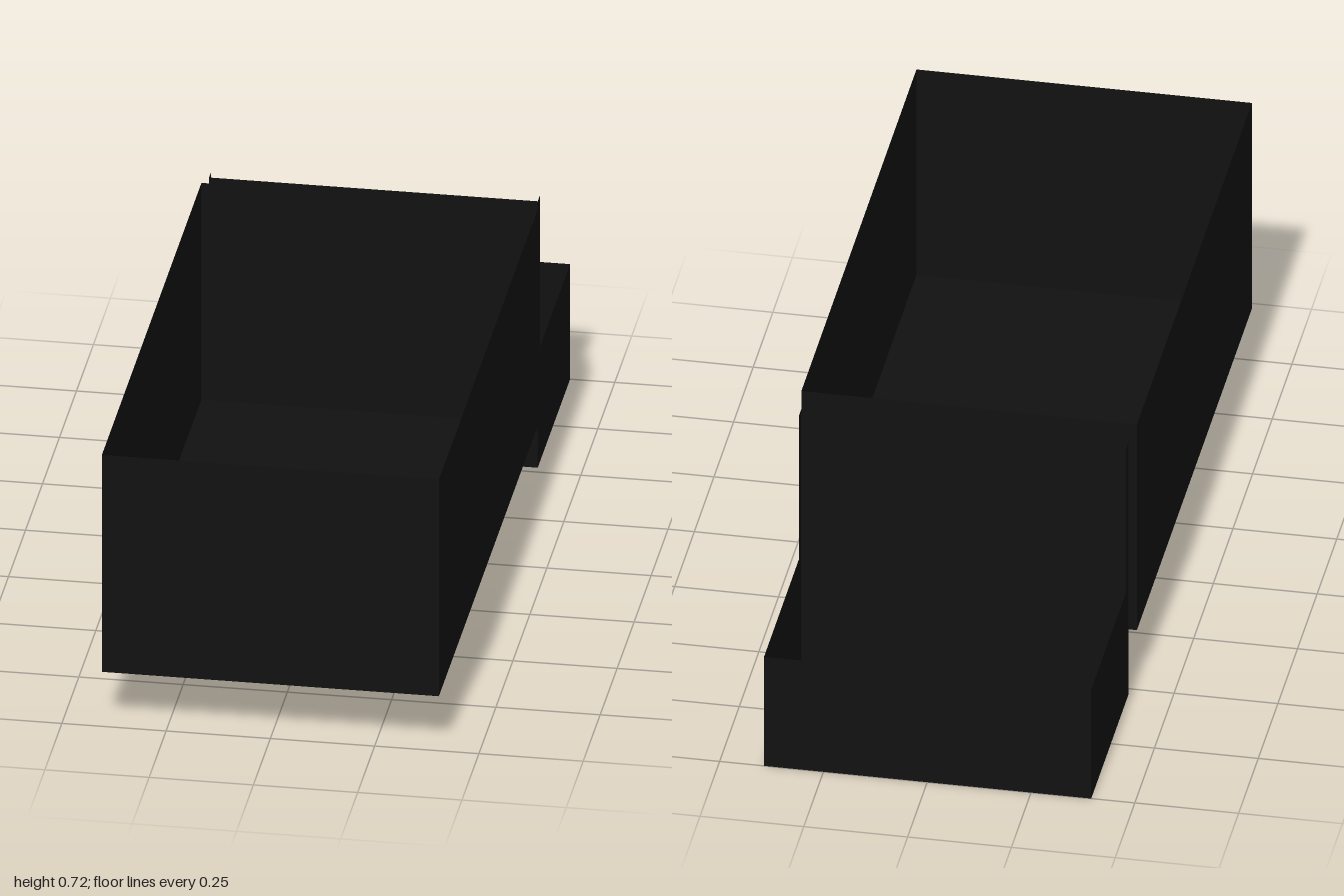
import * as THREE from 'three';

const material = new THREE.MeshStandardMaterial({ color: 0x111111, side: THREE.DoubleSide });

function addMesh(group, name, geometry, x, y, z, rx = 0, ry = 0) {
  const mesh = new THREE.Mesh(geometry, material);
  mesh.name = name;
  mesh.position.set(x, y, z);
  mesh.rotation.set(rx, ry, 0);
  group.add(mesh);
}

// Open-topped thin container: floor, two end walls and two side walls.
// The side outline runs in (-z, y); the end walls have their own heights.
function openTray(name, { x, width, front, back, bottom, frontTop, backTop, profile }) {
  const group = new THREE.Group();
  group.name = name;
  const depth = front - back;
  const wall = (top) => new THREE.PlaneGeometry(width, top - bottom);
  addMesh(group, 'floor', new THREE.PlaneGeometry(width, depth), x, bottom, (front + back) / 2, -Math.PI / 2);
  addMesh(group, 'frontWall', wall(frontTop), x, (bottom + frontTop) / 2, front);
  addMesh(group, 'backWall', wall(backTop), x, (bottom + backTop) / 2, back, 0, Math.PI);
  const side = new THREE.ShapeGeometry(new THREE.Shape(profile.map(([z, y]) => new THREE.Vector2(-z, y))));
  for (const s of [-1, 1]) {
    addMesh(group, s > 0 ? 'leftWall' : 'rightWall', side, x + s * width / 2, 0, 0, 0, Math.PI / 2);
  }
  return group;
}

export function createModel() {
  const model = new THREE.Group();
  model.name = 'twoTrays';

  // Long raised box
  model.add(openTray('mainBox', {
    x: 0, width: 0.808, front: 1, back: -0.466, bottom: 0.144, frontTop: 0.717, backTop: 0.717,
    profile: [[1, 0.144], [-0.466, 0.144], [-0.466, 0.717], [1, 0.717]],
  }));

  // Low rear tray with a tall panel and narrow side returns
  model.add(openTray('rearTray', {
    x: -0.001, width: 0.788, front: -0.523, back: -1, bottom: 0, frontTop: 0.704, backTop: 0.304,
    profile: [[-0.523, 0], [-1, 0], [-1, 0.304], [-0.554, 0.304], [-0.554, 0.704], [-0.523, 0.704]],
  }));

  return model;
}
